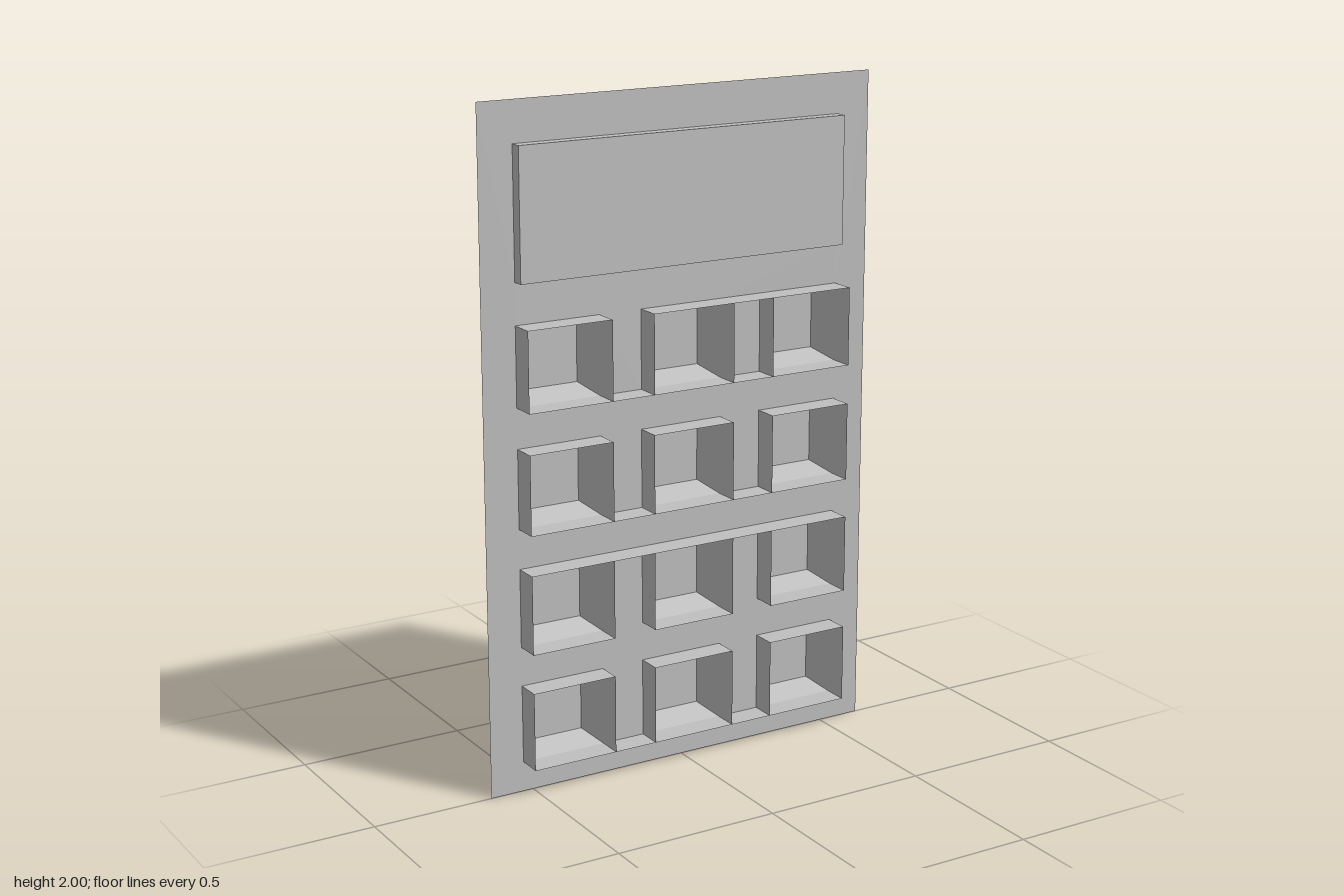
import * as THREE from 'three';

const W = 0.635, H = 2;
const COLS = [-0.398, 0, 0.398];
const ROWS = [1.262, 0.91, 0.558, 0.207];
const KEY = [0.132, 0.117];   // half width, half height of a key opening
const TIP = [0.1, 0.089];     // half size of the key cap
const CAP_Z = -0.077, RIM_Z = 0.076;
const SCREEN = { y: 1.69, half: [0.529, 0.19], z: 0.036 };

const corners = ([w, h]) => [[-w, -h], [w, -h], [w, h], [-w, h]];

// Four walls joining a rectangle at zBack to one at zFront
function walls(back, zBack, front, zFront) {
  const b = corners(back), f = corners(front), p = [];
  for (let i = 0; i < 4; i++) {
    const j = (i + 1) % 4;
    const a = [...b[i], zBack], c = [...b[j], zBack], d = [...f[j], zFront], e = [...f[i], zFront];
    p.push(...a, ...c, ...d, ...a, ...d, ...e);
  }
  const g = new THREE.BufferGeometry();
  g.setAttribute('position', new THREE.Float32BufferAttribute(p, 3));
  g.computeVertexNormals();
  return g;
}

function holeAt(x, y, half) {
  const path = new THREE.Path();
  path.setFromPoints(corners(half).reverse().map(([u, v]) => new THREE.Vector2(x + u, y + v)));
  path.closePath();
  return path;
}

export function createModel() {
  const grey = new THREE.MeshStandardMaterial({ color: 0xbfbfbf, side: THREE.DoubleSide });
  grey.name = 'grey';
  const model = new THREE.Group();
  model.name = 'keypad';
  const add = (parent, name, geometry, x = 0, y = 0, z = 0) => {
    const mesh = new THREE.Mesh(geometry, grey);
    mesh.name = name;
    mesh.position.set(x, y, z);
    parent.add(mesh);
    return mesh;
  };

  // Flat sheet with openings for the screen and keys
  const plate = new THREE.Shape(
    corners([W, H / 2]).map(([x, y]) => new THREE.Vector2(x, y + H / 2)));
  plate.holes.push(holeAt(0, SCREEN.y, SCREEN.half));
  for (const y of ROWS) for (const x of COLS) plate.holes.push(holeAt(x, y, KEY));
  add(model, 'plate', new THREE.ShapeGeometry(plate));

  // Raised screen, hollow at the back
  const screen = new THREE.Group();
  screen.name = 'screen';
  model.add(screen);
  add(screen, 'screenWalls', walls(SCREEN.half, 0, SCREEN.half, SCREEN.z), 0, SCREEN.y);
  add(screen, 'screenFace',
    new THREE.PlaneGeometry(SCREEN.half[0] * 2, SCREEN.half[1] * 2), 0, SCREEN.y, SCREEN.z);

  // Hollow keys: straight sleeve in front, tapered cup behind
  const sleeve = walls(KEY, 0, KEY, RIM_Z);
  const taper = walls(TIP, CAP_Z, KEY, 0);
  const cap = new THREE.PlaneGeometry(TIP[0] * 2, TIP[1] * 2).rotateY(Math.PI);
  for (const y of ROWS) for (const x of COLS) {
    const key = new THREE.Group();
    key.name = 'key';
    key.position.set(x, y, 0);
    model.add(key);
    add(key, 'keySleeve', sleeve);
    add(key, 'keyTaper', taper);
    add(key, 'keyCap', cap, 0, 0, CAP_Z);
  }

  // Thin ledges joining neighbouring sleeves: [row, gap, side]
  const ledge = new THREE.PlaneGeometry(COLS[2] - 2 * KEY[0], RIM_Z).rotateX(-Math.PI / 2);
  const joins = [[0, 1, 1], [2, 0, 1], [2, 1, 1]];
  for (const row of [0, 1, 3]) for (const gap of [0, 1]) joins.push([row, gap, -1]);
  for (const [row, gap, side] of joins) {
    add(model, 'ledge', ledge,
      (COLS[gap] + COLS[gap + 1]) / 2, ROWS[row] + side * KEY[1], RIM_Z / 2);
  }
  return model;
}
